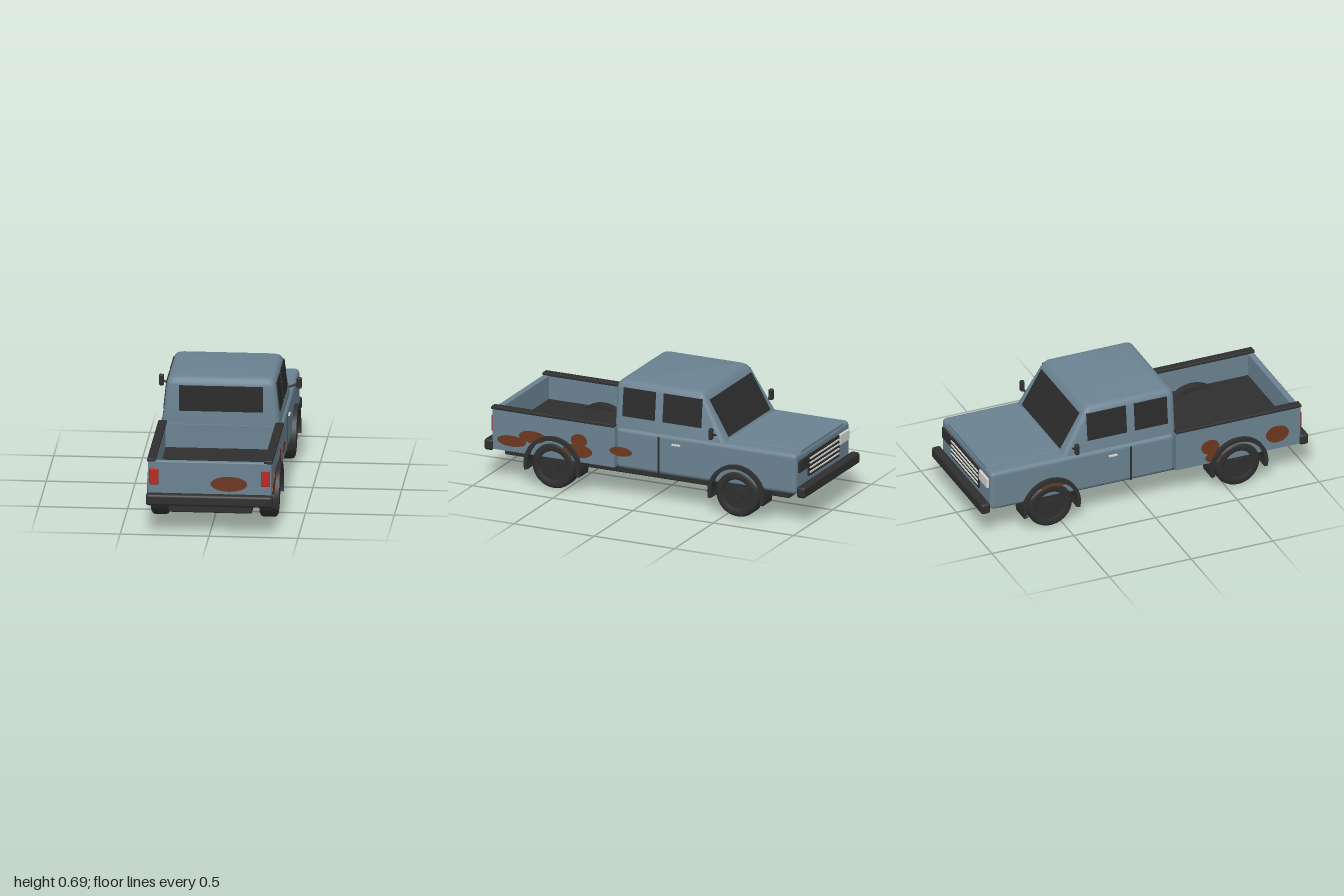
import * as THREE from 'three';
import { toCreasedNormals } from 'three/addons/utils/BufferGeometryUtils.js';
import { RoundedBoxGeometry } from 'three/addons/geometries/RoundedBoxGeometry.js';

const mat = (name, color) => Object.assign(new THREE.MeshStandardMaterial({ color }), { name });

// Rounded-rectangle rings stacked upwards; each level: [y, halfWidth, zMin, zMax, cornerRadius]
function loft(levels, seg = 4) {
  const pos = [], idx = [], n = 4 * (seg + 1);
  for (const [y, w, z0, z1, r] of levels) {
    const corners = [[w - r, z1 - r], [-w + r, z1 - r], [-w + r, z0 + r], [w - r, z0 + r]];
    corners.forEach(([cx, cz], k) => {
      for (let i = 0; i <= seg; i++) {
        const a = (k + i / seg) * Math.PI / 2;
        pos.push(cx + r * Math.cos(a), y, cz + r * Math.sin(a));
      }
    });
  }
  const last = (levels.length - 1) * n;
  for (let l = 0; l < levels.length - 1; l++)
    for (let i = 0; i < n; i++) {
      const a = l * n + i, b = l * n + (i + 1) % n;
      idx.push(a, a + n, b, b, a + n, b + n);
    }
  for (let i = 1; i < n - 1; i++) idx.push(last, last + i + 1, last + i, 0, i, i + 1);
  const g = new THREE.BufferGeometry();
  g.setAttribute('position', new THREE.Float32BufferAttribute(pos, 3));
  g.setIndex(idx);
  return toCreasedNormals(g, 0.6);
}

export function createModel() {
  const truck = new THREE.Group();
  truck.name = 'pickupTruck';
  const paint = mat('bluePaint', 0x6b8291), dark = mat('darkTrim', 0x2f2f2f), glass = mat('glass', 0x2b2b2b);
  const red = mat('tailLightRed', 0xb52b22), rust = mat('rust', 0x6e3820), pale = mat('paleMetal', 0xd6d6d2);

  const add = (name, geo, m, x = 0, y = 0, z = 0, parent = truck) => {
    const mesh = new THREE.Mesh(geo, m);
    mesh.name = name;
    mesh.position.set(x, y, z);
    parent.add(mesh);
    return mesh;
  };
  // Box given by its limits; r > 0 rounds the edges
  const box = (name, m, x0, x1, y0, y1, z0, z1, r = 0) => {
    const s = [x1 - x0, y1 - y0, z1 - z0];
    const geo = r ? new RoundedBoxGeometry(...s, 3, r) : new THREE.BoxGeometry(...s);
    return add(name, geo, m, (x0 + x1) / 2, (y0 + y1) / 2, (z0 + z1) / 2);
  };
  const sideBox = (name, m, s, x0, x1, ...rest) =>
    box(name, m, s > 0 ? x0 : -x1, s > 0 ? x1 : -x0, ...rest);

  // Chassis and bumpers
  box('chassis', dark, -0.235, 0.235, 0.115, 0.19, -0.845, 0.93, 0.008);
  box('tailBumper', dark, -0.357, 0.357, 0.17, 0.235, 0.945, 1, 0.015);
  box('noseBumper', dark, -0.357, 0.357, 0.17, 0.235, -1, -0.945, 0.015);

  // Lower body, hood and cab
  box('lowerBody', paint, -0.347, 0.347, 0.18, 0.418, -0.94, 0.185, 0.025);
  box('hoodPanel', paint, -0.27, 0.27, 0.40, 0.424, -0.935, -0.48, 0.005);
  add('cab', loft([
    [0.41, 0.333, -0.495, 0.2, 0.03],
    [0.64, 0.308, -0.362, 0.2, 0.03],
    [0.66, 0.303, -0.349, 0.196, 0.03],
    [0.675, 0.293, -0.337, 0.187, 0.03],
    [0.683, 0.28, -0.322, 0.174, 0.03],
    [0.686, 0.265, -0.307, 0.16, 0.03],
  ]), paint);

  // Windows
  box('cabRearWindow', glass, -0.237, 0.237, 0.492, 0.64, 0.196, 0.205);
  const shield = add('windshield', new THREE.BoxGeometry(0.53, 0.235, 0.009), glass, 0, 0.537, -0.4225);
  shield.rotation.x = Math.atan2(0.133, 0.23);
  for (const s of [1, -1])
    for (const [z0, z1] of [[-0.05, 0.15], [-0.34, -0.1]]) {
      const w = add('sideWindow', new THREE.BoxGeometry(0.009, 0.165, z1 - z0), glass, s * 0.3165, 0.567, (z0 + z1) / 2);
      w.rotation.z = s * Math.atan(0.025 / 0.23);
    }

  // Cargo bed
  box('bedBase', paint, -0.345, 0.345, 0.18, 0.275, 0.19, 0.95);
  box('bedFloor', dark, -0.31, 0.31, 0.273, 0.28, 0.21, 0.92);
  box('bedHeadboard', paint, -0.345, 0.345, 0.27, 0.415, 0.188, 0.212);
  box('tailgate', paint, -0.347, 0.347, 0.18, 0.418, 0.917, 0.953, 0.006);

  for (const s of [1, -1]) {
    sideBox('bedSide', paint, s, 0.31, 0.347, 0.18, 0.418, 0.19, 0.95);
    sideBox('bedRail', dark, s, 0.305, 0.353, 0.415, 0.433, 0.19, 0.957, 0.005);
    sideBox('tailLight', red, s, 0.289, 0.34, 0.283, 0.376, 0.948, 0.962, 0.005);
    sideBox('doorSeam', dark, s, 0.343, 0.35, 0.185, 0.4, -0.09, -0.08);
    sideBox('doorHandle', pale, s, 0.343, 0.357, 0.365, 0.374, -0.22, -0.17);
    // Side mirror on a slanted arm
    sideBox('mirror', dark, s, 0.373, 0.401, 0.45, 0.514, -0.442, -0.418, 0.007);
    const arm = add('mirrorArm', new THREE.CylinderGeometry(0.006, 0.006, 0.075, 10), dark, s * 0.35, 0.466, -0.43);
    arm.rotation.z = -s * 1.2;
  }

  // Nose: grille bars, one dead lamp and one working lamp
  box('grille', dark, -0.195, 0.195, 0.25, 0.376, -0.948, -0.935);
  for (let i = 0; i < 4; i++) {
    const y = 0.272 + i * 0.027;
    box('grilleBar', pale, -0.185, 0.185, y - 0.004, y + 0.004, -0.954, -0.945);
  }
  box('deadHeadlight', dark, 0.2, 0.318, 0.305, 0.374, -0.952, -0.93, 0.005);
  box('headlight', pale, -0.318, -0.2, 0.312, 0.374, -0.952, -0.93, 0.005);

  // Wheels and arches
  const tyre = new THREE.LatheGeometry([[0.085, -0.04], [0.088, -0.05], [0.118, -0.05], [0.13, -0.043], [0.135, -0.03],
    [0.135, 0.03], [0.13, 0.043], [0.118, 0.05], [0.088, 0.05], [0.085, 0.04]].map(p => new THREE.Vector2(...p)), 36);
  const arc = new THREE.Shape();
  arc.absarc(0, 0, 0.175, -0.23, Math.PI + 0.23, false);
  arc.absarc(0, 0, 0.153, Math.PI + 0.23, -0.23, true);
  const archGeo = new THREE.ExtrudeGeometry(arc, { depth: 0.115, bevelEnabled: false, curveSegments: 24 });
  archGeo.translate(0, 0, -0.0575).rotateY(Math.PI / 2);
  const arch = toCreasedNormals(archGeo, 0.5);
  for (const s of [1, -1])
    for (const z of [0.57, -0.575]) {
      const wheel = new THREE.Group();
      wheel.name = 'wheel';
      wheel.position.set(s * 0.305, 0.135, z);
      wheel.rotation.z = -s * Math.PI / 2;
      truck.add(wheel);
      add('tyre', tyre, dark, 0, 0, 0, wheel);
      add('rim', new THREE.CylinderGeometry(0.086, 0.086, 0.08, 32), dark, 0, 0, 0, wheel);
      add('hubCap', new THREE.CylinderGeometry(0.036, 0.042, 0.1, 24), dark, 0, 0, 0, wheel);
      add('wheelArch', arch, dark, s * 0.3145, 0.135, z);
    }

  // Rust patches on the sides: [side, z, y, half length, half height]
  for (const [s, z, y, a, b] of [
    [1, 0.83, 0.243, 0.09, 0.032], [1, 0.7, 0.285, 0.085, 0.035], [1, 0.41, 0.307, 0.05, 0.038],
    [1, 0.42, 0.245, 0.092, 0.04], [1, 0.15, 0.28, 0.07, 0.027],
    [-1, 0.81, 0.275, 0.07, 0.052], [-1, 0.4, 0.285, 0.055, 0.045], [-1, 0.42, 0.215, 0.05, 0.03], [-1, -0.56, 0.27, 0.09, 0.03],
  ]) {
    const geo = new THREE.CylinderGeometry(1, 1, 0.008, 18).rotateZ(Math.PI / 2).scale(1, b, a);
    add('rustPatch', geo, rust, s * 0.3475, y, z);
  }
  const patch = new THREE.CylinderGeometry(1, 1, 0.008, 18).rotateX(Math.PI / 2).scale(0.104, 0.043, 1);
  add('tailgateRust', patch, rust, 0.108, 0.293, 0.954);

  return truck;
}
